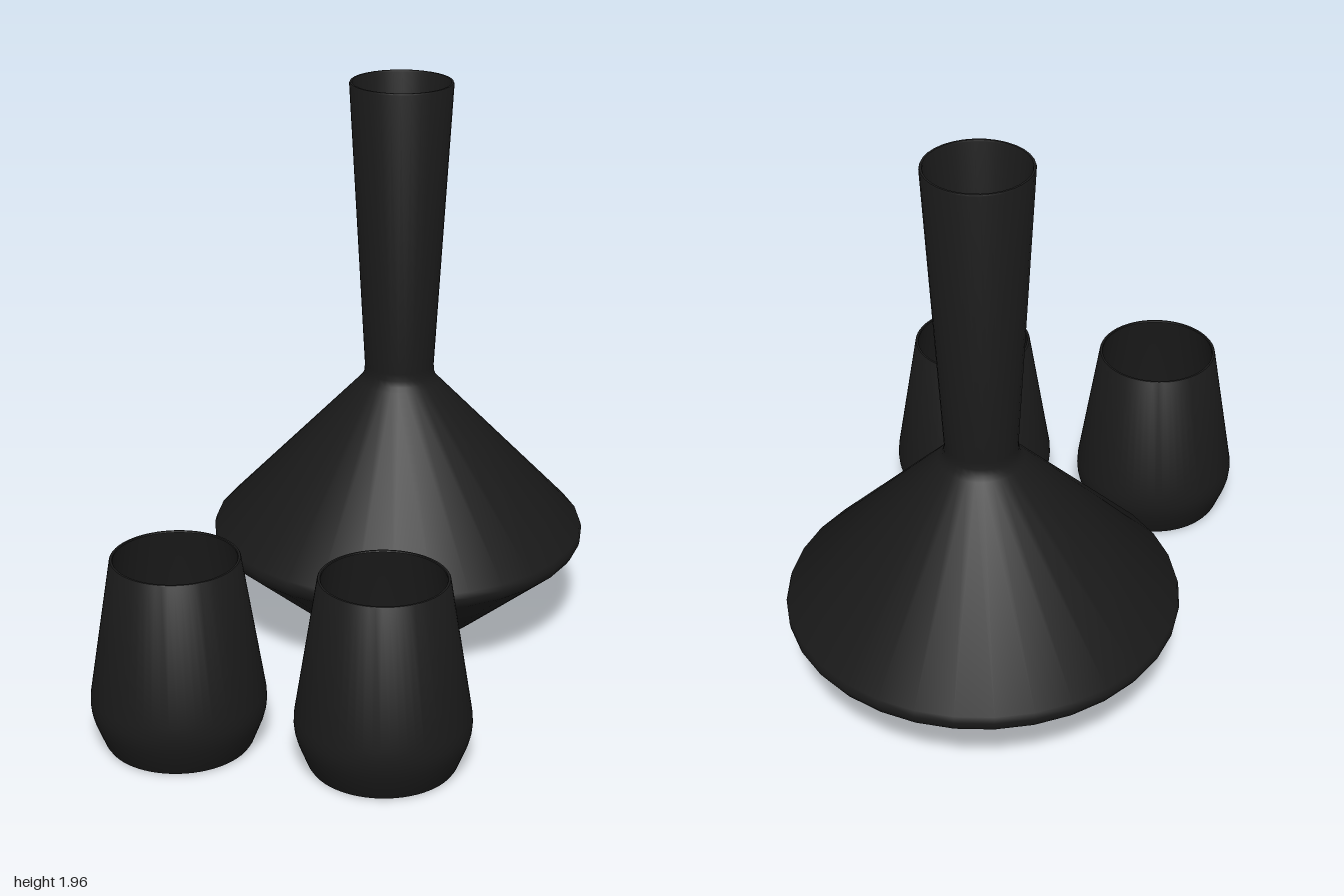
import * as THREE from 'three';
import { toCreasedNormals } from 'three/addons/utils/BufferGeometryUtils.js';

const material = new THREE.MeshStandardMaterial({ color: 0x1a1a1a });

// Closed lathe profile: [radius, height] pairs up the outside and down the inside.
function turned(name, profile, segments, x, z) {
  const points = profile.map(([r, y]) => new THREE.Vector2(r, y));
  const geometry = toCreasedNormals(new THREE.LatheGeometry(points, segments), 0.5);
  const mesh = new THREE.Mesh(geometry, material);
  mesh.name = name;
  mesh.position.set(x, 0, z);
  return mesh;
}

const decanterProfile = [
  // foot and lower cone
  [0, 0], [0.235, 0], [0.262, 0.004], [0.285, 0.014], [0.305, 0.03],
  // widest edge
  [0.64, 0.312], [0.652, 0.33], [0.655, 0.348], [0.649, 0.368],
  // shoulder and flared neck
  [0.14, 0.9], [0.128, 0.915], [0.121, 0.935], [0.12, 0.96],
  [0.176, 1.955], [0.174, 1.96], [0.167, 1.96], [0.165, 1.955],
  // inside
  [0.108, 0.96], [0.11, 0.925], [0.125, 0.9], [0.635, 0.365], [0.64, 0.345],
  [0.628, 0.32], [0.295, 0.04], [0.235, 0.015], [0, 0.015],
];

const cupProfile = [
  // base and rounded belly
  [0, 0], [0.225, 0], [0.236, 0.004], [0.244, 0.016],
  [0.274, 0.092], [0.282, 0.122], [0.285, 0.15], [0.283, 0.185],
  // rim
  [0.209, 0.647], [0.207, 0.65], [0.2, 0.65], [0.198, 0.647],
  // inside
  [0.272, 0.185], [0.274, 0.15], [0.264, 0.095], [0.236, 0.025], [0.225, 0.015], [0, 0.015],
];

export function createModel() {
  const group = new THREE.Group();
  group.name = 'decanterSet';
  group.add(turned('decanter', decanterProfile, 32, 0.245, -0.345));
  group.add(turned('leftCup', cupProfile, 64, 0.01, 0.715));
  group.add(turned('rightCup', cupProfile, 64, -0.618, 0.465));
  return group;
}
